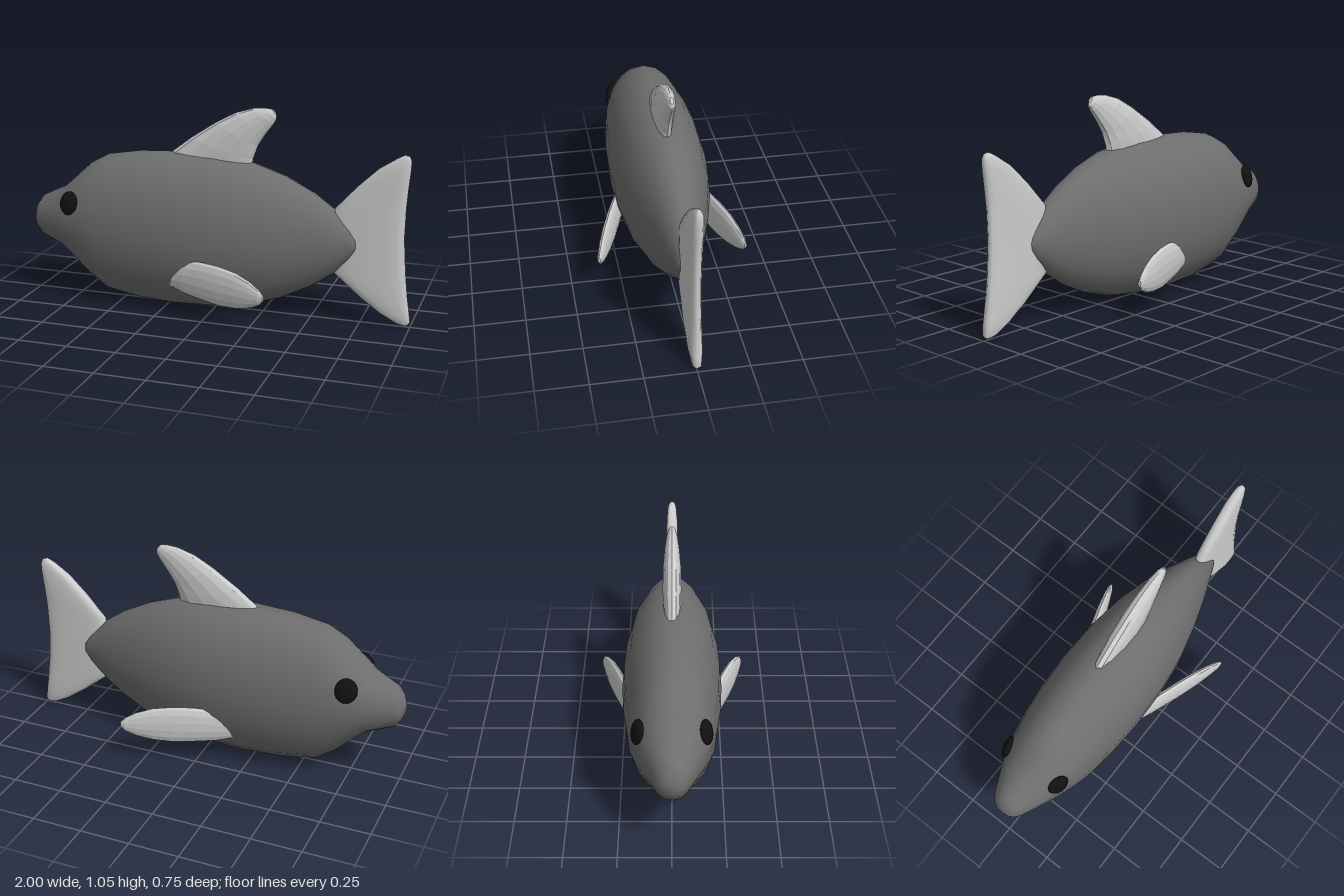
import * as THREE from 'three';

const V = (x, y, z) => new THREE.Vector3(x, y, z);

// Closed skin over a row of rounded rings; each ring is { c, u, v } with u x v along the row.
// power 1 gives ellipses, lower values give boxier rings.
function loft(rings, sides, power = 1) {
  const pos = [], index = [];
  const soft = (t) => Math.sign(t) * Math.pow(Math.abs(t), power);
  for (const { c, u, v } of rings) {
    for (let j = 0; j < sides; j++) {
      const a = (j / sides) * Math.PI * 2;
      const p = c.clone().addScaledVector(u, soft(Math.cos(a))).addScaledVector(v, soft(Math.sin(a)));
      pos.push(p.x, p.y, p.z);
    }
  }
  const n = rings.length, first = n * sides, last = first + 1;
  pos.push(...rings[0].c.toArray(), ...rings[n - 1].c.toArray());
  for (let j = 0; j < sides; j++) {
    const k = (j + 1) % sides;
    for (let i = 0; i < n - 1; i++) {
      const a = i * sides + j, b = i * sides + k;
      index.push(a, b, a + sides, b, b + sides, a + sides);
    }
    index.push(first, k, j, last, (n - 1) * sides + j, (n - 1) * sides + k);
  }
  const g = new THREE.BufferGeometry();
  g.setAttribute('position', new THREE.Float32BufferAttribute(pos, 3));
  g.setIndex(index);
  g.computeVertexNormals();
  return g;
}

// Ring of an upright fin between its leading and trailing edge
const finRing = ([x0, y0, x1, y1, half]) => ({
  c: V((x0 + x1) / 2, (y0 + y1) / 2, 0),
  u: V((x1 - x0) / 2, (y1 - y0) / 2, 0),
  v: V(0, 0, -half),
});

export function createModel() {
  const group = new THREE.Group();
  const skin = new THREE.MeshStandardMaterial({ color: 0x6e6e6e });
  const smoothFin = new THREE.MeshStandardMaterial({ color: 0xcccccc });
  const facetFin = new THREE.MeshStandardMaterial({ color: 0xcccccc, flatShading: true });
  const black = new THREE.MeshStandardMaterial({ color: 0x111111 });
  const add = (name, geometry, material) => {
    const mesh = new THREE.Mesh(geometry, material);
    mesh.name = name;
    group.add(mesh);
    return mesh;
  };

  // Body: x, bottom, top, half width
  const body = [
    [-1, 0.37, 0.43, 0.03], [-0.985, 0.335, 0.475, 0.06], [-0.955, 0.3, 0.515, 0.085],
    [-0.83, 0.25, 0.575, 0.142], [-0.77, 0.2, 0.63, 0.165], [-0.68, 0.11, 0.71, 0.19],
    [-0.58, 0.04, 0.763, 0.212], [-0.4, 0.01, 0.793, 0.235], [-0.2, 0, 0.803, 0.246],
    [0, 0.008, 0.798, 0.24], [0.18, 0.03, 0.775, 0.217], [0.35, 0.085, 0.72, 0.175],
    [0.5, 0.16, 0.645, 0.127], [0.6, 0.23, 0.575, 0.09], [0.69, 0.315, 0.49, 0.055],
    [0.72, 0.355, 0.45, 0.04], [0.735, 0.39, 0.42, 0.015],
  ].map(([x, lo, hi, w]) => ({ c: V(x, (lo + hi) / 2, 0), u: V(0, (hi - lo) / 2, 0), v: V(0, 0, w) }));
  add('body', loft(body, 20), skin);

  // Tail fin: leading x, y, trailing x, y, half thickness
  const tail = [
    [0.965, 0.008, 0.985, 0.008, 0.01], [0.93, 0.018, 0.999, 0.025, 0.022],
    [0.85, 0.06, 0.992, 0.08, 0.031], [0.75, 0.13, 0.98, 0.16, 0.034],
    [0.61, 0.245, 0.967, 0.28, 0.034], [0.59, 0.42, 0.955, 0.45, 0.034],
    [0.61, 0.575, 0.958, 0.6, 0.034], [0.72, 0.695, 0.965, 0.7, 0.033],
    [0.82, 0.79, 0.973, 0.785, 0.03], [0.9, 0.842, 0.975, 0.835, 0.023],
    [0.94, 0.864, 0.965, 0.858, 0.01],
  ].map(finRing);
  add('tailFin', loft(tail, 16, 0.7), smoothFin);

  // Swept dorsal fin
  const dorsal = [
    [-0.3, 0.75, 0.18, 0.71, 0.042], [-0.13, 0.88, 0.19, 0.79, 0.047],
    [0, 0.965, 0.215, 0.86, 0.045], [0.1, 1.018, 0.25, 0.915, 0.038],
    [0.19, 1.045, 0.295, 0.975, 0.028], [0.25, 1.05, 0.308, 1.0, 0.019],
    [0.285, 1.046, 0.306, 1.022, 0.009],
  ].map(finRing);
  add('dorsalFin', loft(dorsal, 14), facetFin);

  for (const s of [1, -1]) {
    const side = s > 0 ? 'Left' : 'Right';

    // Pectoral fin, sweeping out and back: x, bottom, top, half thickness
    const out = V(0.945, 0, 0.33 * s).normalize();
    const across = V(-out.z, 0, out.x);
    const pectoral = [
      [-0.2, 0.15, 0.25, 0.018], [-0.1, 0.125, 0.295, 0.025], [0, 0.115, 0.31, 0.028],
      [0.1, 0.108, 0.31, 0.028], [0.2, 0.117, 0.298, 0.026], [0.28, 0.138, 0.27, 0.021],
      [0.33, 0.163, 0.24, 0.015], [0.352, 0.187, 0.217, 0.007],
    ].map(([x, lo, hi, half]) => ({
      c: V(x, (lo + hi) / 2, s * (0.245 + 0.35 * x)),
      u: V(0, (hi - lo) / 2, 0),
      v: across.clone().multiplyScalar(half),
    }));
    add('pectoralFin' + side, loft(pectoral, 14), facetFin);

    // Eye: flattened ball lying on the cheek
    const eye = add('eye' + side, new THREE.SphereGeometry(1, 20, 14), black);
    eye.scale.set(0.055, 0.061, 0.022);
    eye.position.set(-0.745, 0.525, s * 0.158);
    eye.quaternion.setFromUnitVectors(V(0, 0, 1), V(-0.33, 0.3, 1).normalize());
    if (s < 0) eye.quaternion.set(-eye.quaternion.x, -eye.quaternion.y, eye.quaternion.z, eye.quaternion.w);
  }
  return group;
}
